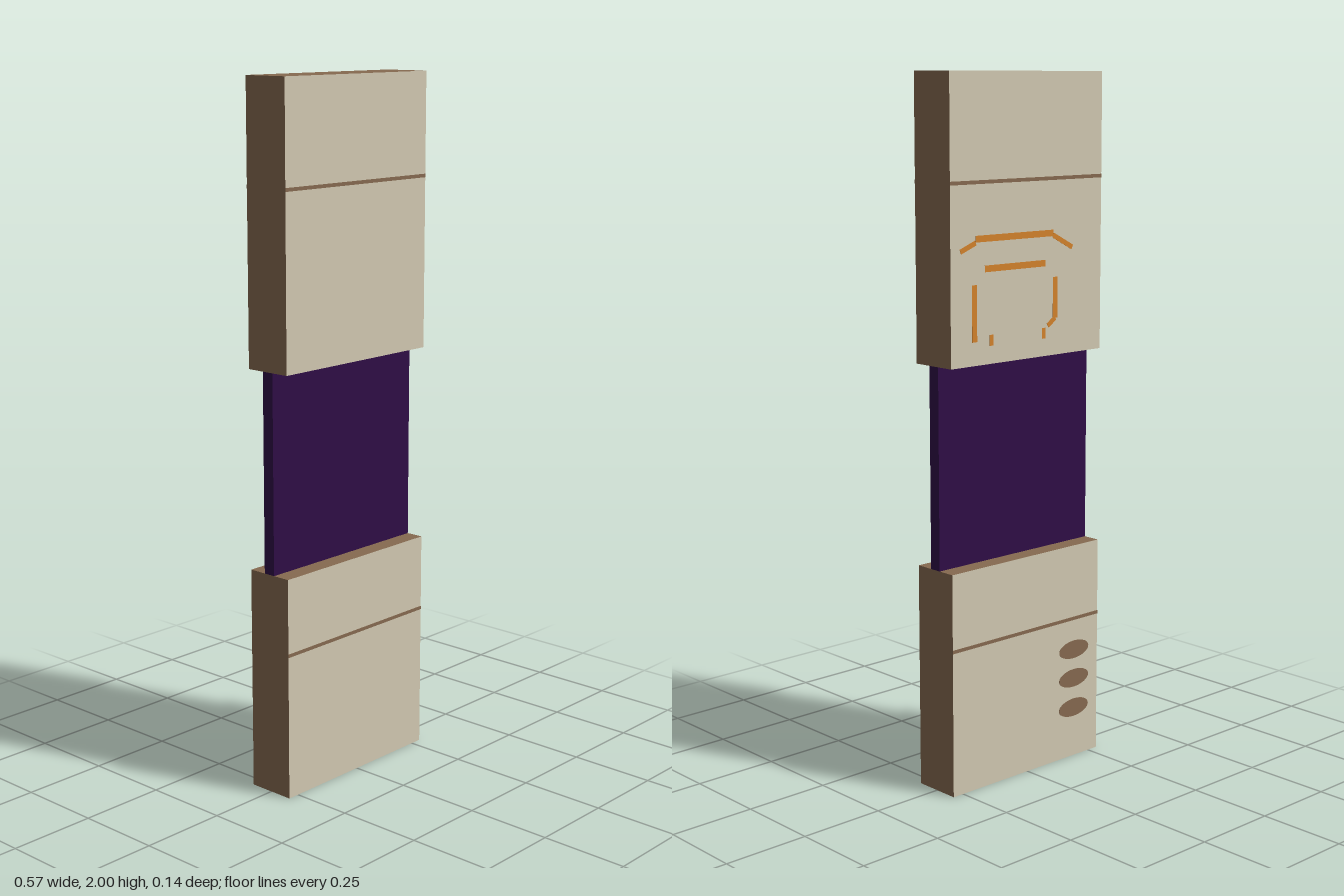
import * as THREE from 'three';

function mat(name, color) {
  const m = new THREE.MeshStandardMaterial({ color });
  m.name = name;
  return m;
}

export function createModel() {
  const beige = mat('beige face', 0xd2c9b2);
  const brown = mat('brown edge', 0x866a50);
  const purple = mat('dark purple', 0x2f0e46);
  const orange = mat('orange inlay', 0xd4832c);

  const W = 0.57, D = 0.142, T = 0.002;
  const model = new THREE.Group();
  model.name = 'foldedPanel';

  function add(parent, name, geometry, material, x, y, z) {
    const mesh = new THREE.Mesh(geometry, material);
    mesh.name = name;
    mesh.position.set(x, y, z);
    parent.add(mesh);
    return mesh;
  }

  // Blocks: beige front and back, brown edges, a thin seam on both faces
  function block(name, y0, y1, seamY) {
    const group = new THREE.Group();
    group.name = name;
    add(group, name + 'Body', new THREE.BoxGeometry(W, y1 - y0, D),
      [brown, brown, brown, brown, beige, beige], 0, (y0 + y1) / 2, 0);
    for (const side of [1, -1]) {
      add(group, side > 0 ? 'frontSeam' : 'backSeam',
        new THREE.BoxGeometry(W, 0.01, T), brown, 0, seamY, side * D / 2);
    }
    model.add(group);
    return group;
  }
  const upper = block('upperBlock', 1.215, 2, 1.709);
  const lower = block('lowerBlock', 0, 0.645, 0.424);

  // Thin panel joining the blocks
  add(model, 'middlePanel', new THREE.BoxGeometry(W, 0.57, 0.036), purple, 0, 0.93, 0);

  // Oval marks on the back of the lower block
  for (const y of [0.329, 0.241, 0.15]) {
    const oval = add(lower, 'ovalMark', new THREE.CylinderGeometry(0.06, 0.06, T, 32),
      brown, -0.188, y, -D / 2);
    oval.rotation.x = Math.PI / 2;
    oval.scale.z = 0.45;
  }

  // Gate-shaped inlay on the back of the upper block: x1, y1, x2, y2, width
  const strokes = [
    [0.195, 1.558, -0.095, 1.558, 0.018],
    [0.25, 1.527, 0.195, 1.548, 0.014],
    [-0.095, 1.552, -0.17, 1.514, 0.014],
    [0.162, 1.476, -0.065, 1.476, 0.018],
    [0.2, 1.435, 0.2, 1.28, 0.018],
    [-0.104, 1.435, -0.104, 1.32, 0.018],
    [-0.104, 1.32, -0.075, 1.3, 0.014],
    [0.138, 1.295, 0.138, 1.265, 0.014],
    [-0.06, 1.295, -0.06, 1.265, 0.014],
  ];
  for (const [x1, y1, x2, y2, w] of strokes) {
    const bar = add(upper, 'inlayStroke',
      new THREE.BoxGeometry(Math.hypot(x2 - x1, y2 - y1), w, T),
      orange, (x1 + x2) / 2, (y1 + y2) / 2, -D / 2);
    bar.rotation.z = Math.atan2(y2 - y1, x2 - x1);
  }

  return model;
}
